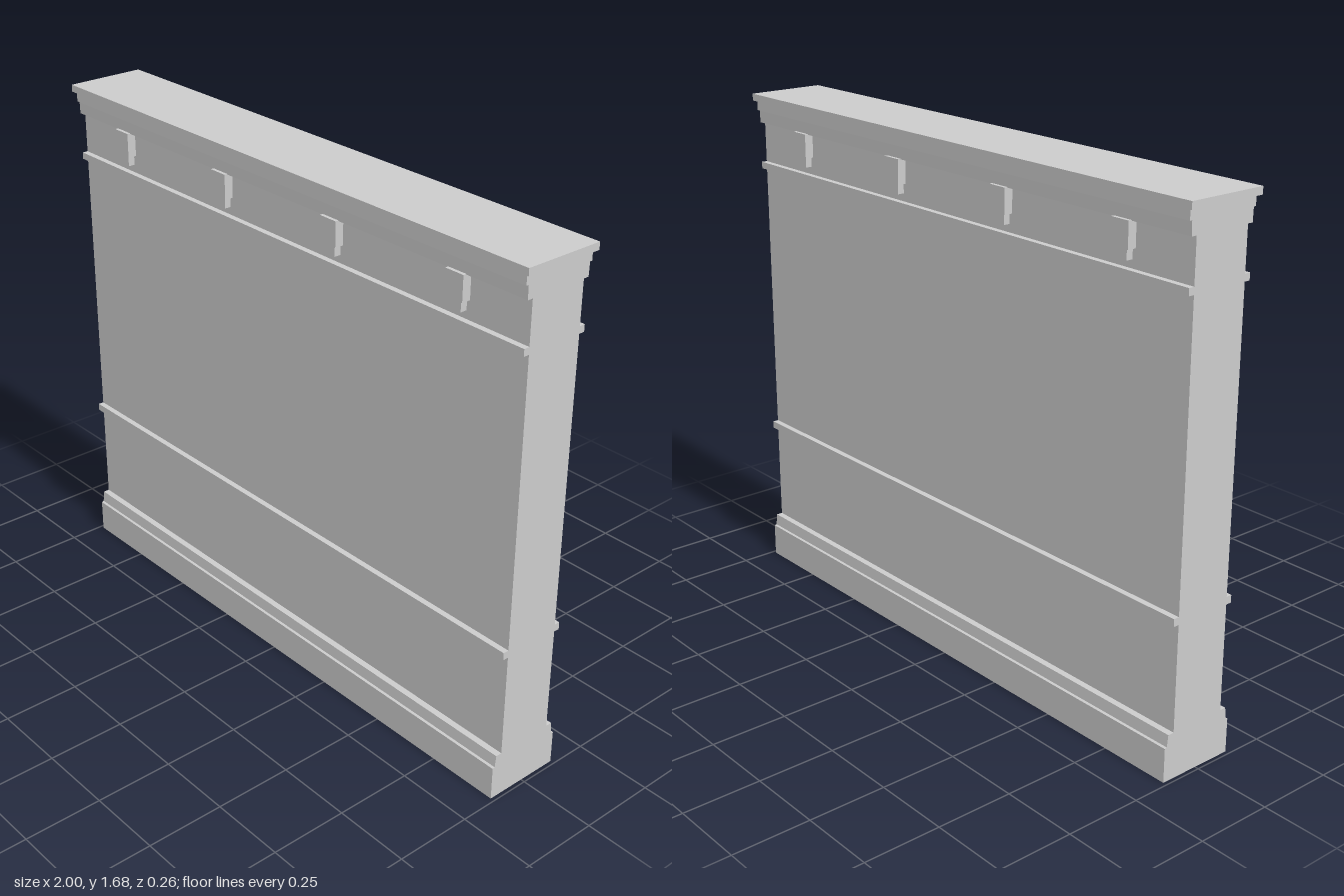
import * as THREE from 'three';

const HALF_LENGTH = 0.987;
const WALL_Z = 0.096;

export function createModel() {
  const group = new THREE.Group();
  const material = new THREE.MeshStandardMaterial({ color: 0xcccccc, flatShading: true });

  function add(name, geometry, parent = group) {
    const mesh = new THREE.Mesh(geometry, material);
    mesh.name = name;
    parent.add(mesh);
    return mesh;
  }

  // Full-depth course: a half profile of [z, y] points, mirrored and run along x
  function course(name, half, halfLength = HALF_LENGTH) {
    const mirrored = half.map(([z, y]) => [-z, y]).reverse();
    const shape = new THREE.Shape([...half, ...mirrored].map(([z, y]) => new THREE.Vector2(-z, y)));
    const geometry = new THREE.ExtrudeGeometry(shape, { depth: halfLength * 2, bevelEnabled: false });
    geometry.translate(0, 0, -halfLength).rotateY(Math.PI / 2);
    return add(name, geometry);
  }

  // Whole section in one piece: skirting, wall with two rails, stepped cornice
  course('wallWithMouldings', [
    [0.129, 0], [0.129, 0.11], [0.121, 0.112], [0.117, 0.15], // skirting
    [WALL_Z, 0.15], [WALL_Z, 0.488],
    [0.115, 0.488], [0.115, 0.512], // chair rail
    [WALL_Z, 0.512], [WALL_Z, 1.428],
    [0.115, 1.428], [0.115, 1.45], // picture rail
    [WALL_Z, 1.45], [WALL_Z, 1.584],
    [0.114, 1.584], [0.115, 1.626], [0.123, 1.626], [0.123, 1.658], // cornice
  ]);

  // Flat cap overhanging on every side
  course('cap', [[0.132, 1.657], [0.132, 1.68]], 1);

  // Stepped brackets below the cornice on both faces
  for (const side of [1, -1]) {
    for (let i = 0; i < 4; i++) {
      const bracket = new THREE.Group();
      bracket.name = 'bracket';
      bracket.position.x = (i - 1.5) * 0.494;
      const block = (name, width, bottom, top, reach) => {
        const depth = reach - WALL_Z + 0.01;
        add(name, new THREE.BoxGeometry(width, top - bottom, depth), bracket)
          .position.set(0, (top + bottom) / 2, side * (reach - depth / 2));
      };
      block('bracketBlock', 0.066, 1.507, 1.586, 0.125);
      block('bracketFoot', 0.045, 1.475, 1.507, 0.118);
      group.add(bracket);
    }
  }
  return group;
}
